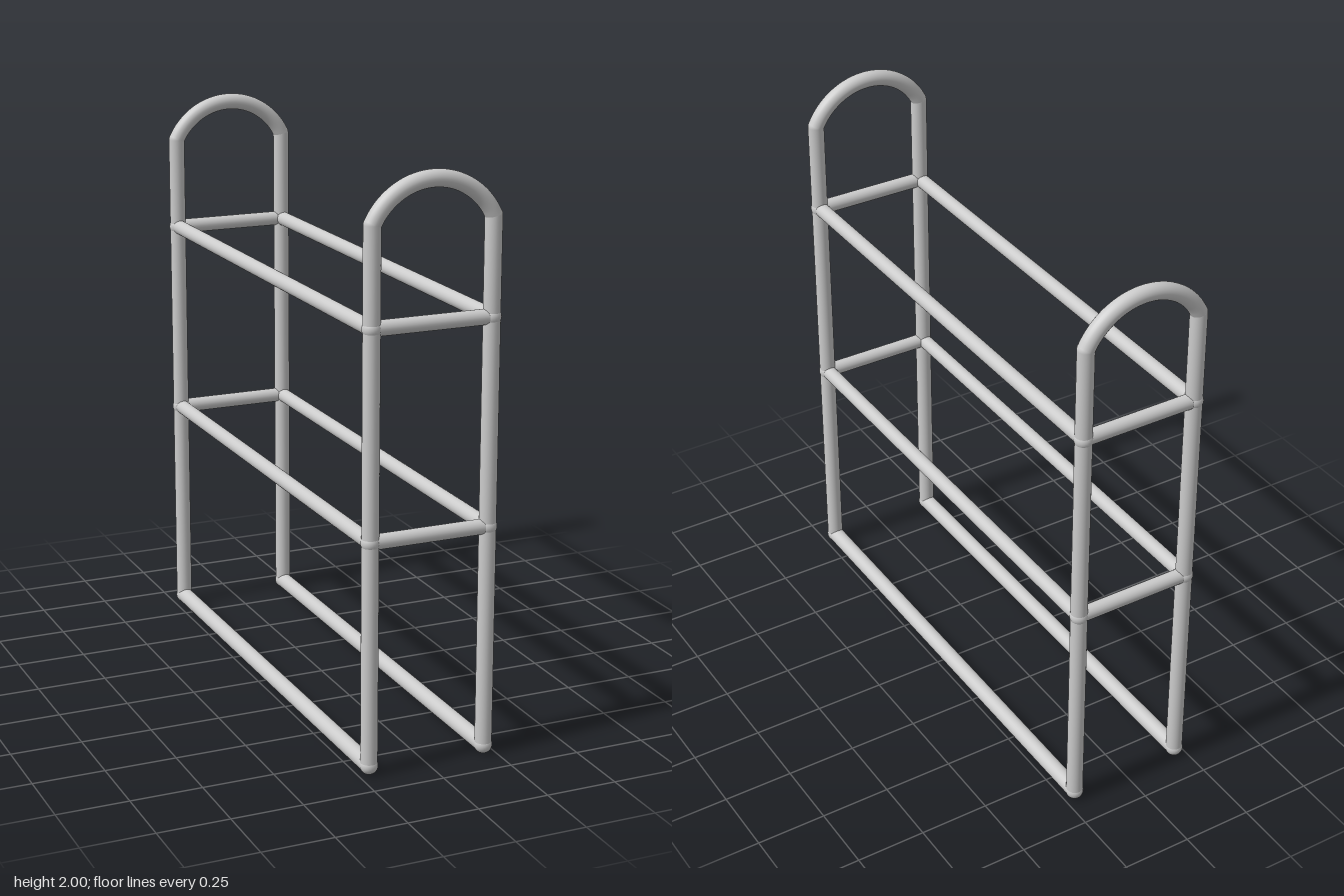
import * as THREE from 'three';

const X = 0.211, Z = 0.871, R = 0.029, RAIL_R = 0.026;
const BASE_Y = 0.031, ARCH_Y = 1.84, TOP_Y = 1.971;
const RAIL_YS = [0.805, 1.51];

export function createModel() {
  const group = new THREE.Group();
  const material = new THREE.MeshStandardMaterial({ color: 0xcccccc });

  const add = (name, geometry) => {
    const mesh = new THREE.Mesh(geometry, material);
    mesh.name = name;
    group.add(mesh);
    return mesh;
  };

  // Round bar between two points; its ends are hidden inside the joints
  const bar = (name, a, b, radius) => {
    const from = new THREE.Vector3(...a), to = new THREE.Vector3(...b);
    const dir = to.clone().sub(from);
    const mesh = add(name, new THREE.CylinderGeometry(radius, radius, dir.length(), 24, 1, true));
    mesh.position.copy(from).add(to).multiplyScalar(0.5);
    mesh.quaternion.setFromUnitVectors(new THREE.Vector3(0, 1, 0), dir.normalize());
  };

  const joint = (name, x, y, z, radius) =>
    add(name, new THREE.SphereGeometry(radius, 24, 16)).position.set(x, y, z);

  // Arch: a circular arc through both post tops and the crown
  const rise = TOP_Y - ARCH_Y;
  const arcR = (X * X + rise * rise) / (2 * rise);
  const half = Math.asin(X / arcR);
  const archPath = (z) => {
    const points = [];
    for (let i = 0; i <= 16; i++) {
      const t = -half + (2 * half * i) / 16;
      points.push(new THREE.Vector3(arcR * Math.sin(t), TOP_Y - arcR + arcR * Math.cos(t), z));
    }
    return new THREE.CatmullRomCurve3(points);
  };

  // End frames: two posts, an arched handle and cross bars
  for (const z of [Z, -Z]) {
    const end = z > 0 ? 'front' : 'back';
    add(end + 'Arch', new THREE.TubeGeometry(archPath(z), 48, R, 24));
    for (const x of [X, -X]) {
      bar(end + 'Post', [x, BASE_Y, z], [x, ARCH_Y, z], R);
      joint(end + 'ArchJoint', x, ARCH_Y, z, R);
      joint(end + 'FootCorner', x, BASE_Y, z, R + 0.002);
      for (const y of RAIL_YS) joint(end + 'RailWeld', x, y, z, R + 0.003);
    }
    for (const y of RAIL_YS) bar(end + 'CrossBar', [-X, y, z], [X, y, z], RAIL_R);
  }

  // Long side rails at three heights
  for (const x of [X, -X]) {
    const side = x > 0 ? 'left' : 'right';
    bar(side + 'BaseRail', [x, BASE_Y, -Z], [x, BASE_Y, Z], R);
    for (const y of RAIL_YS) bar(side + 'Rail', [x, y, -Z], [x, y, Z], RAIL_R);
  }

  return group;
}
